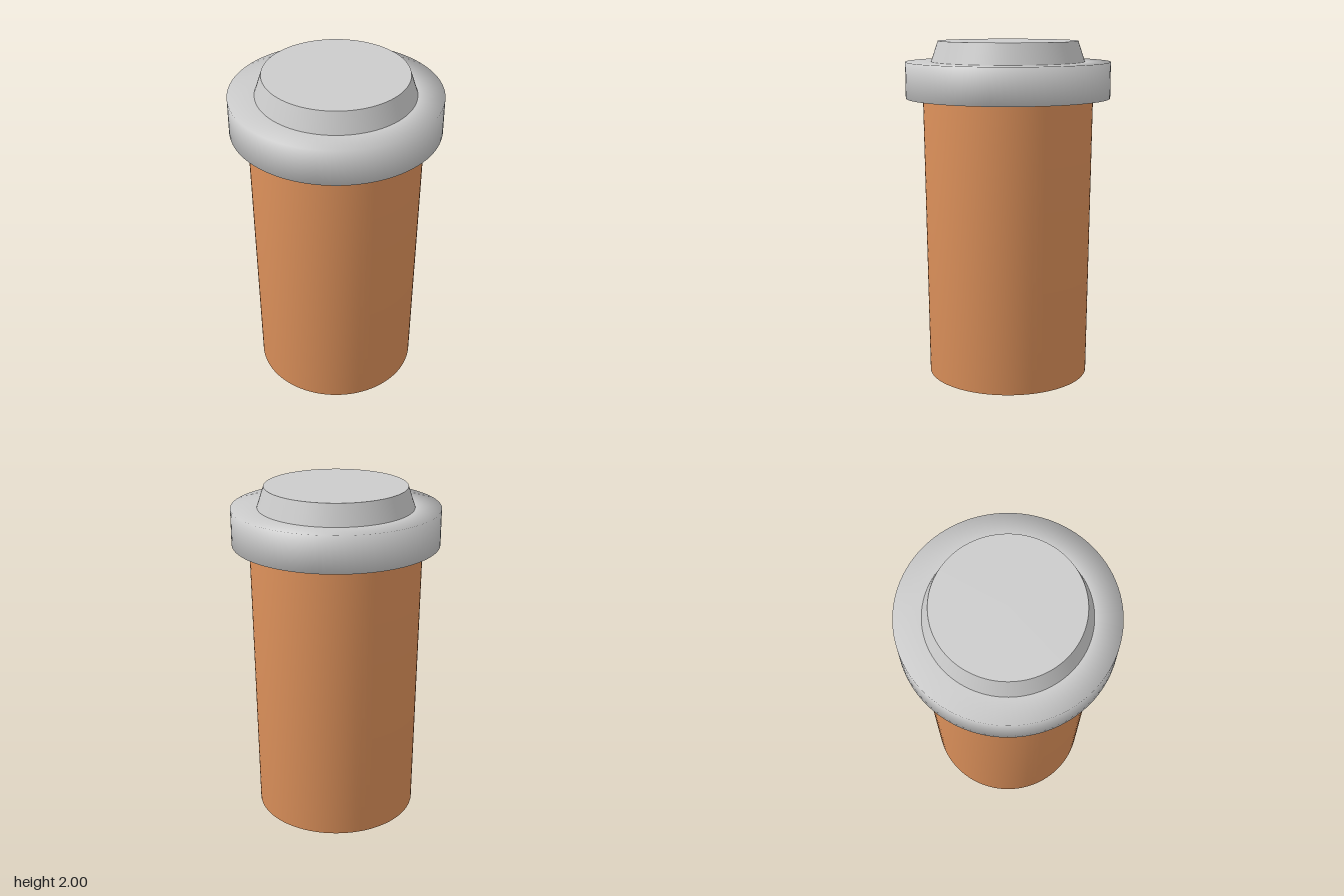
import * as THREE from 'three';

const SEGMENTS = 96;

// Turned part from a profile of [radius, height] points, listed from the bottom up
function turned(name, points, material) {
  const profile = points.map(([r, y]) => new THREE.Vector2(r, y));
  const mesh = new THREE.Mesh(new THREE.LatheGeometry(profile, SEGMENTS), material);
  mesh.name = name;
  return mesh;
}

export function createModel() {
  const group = new THREE.Group();
  group.name = 'lidded cup';

  const cupMaterial = new THREE.MeshStandardMaterial({ color: 0xe0935c });
  const lidMaterial = new THREE.MeshStandardMaterial({ color: 0xcccccc });

  // Small flat centre of the hollow base
  group.add(turned('baseCentre', [[0, 0.14], [0.07, 0.14]], cupMaterial));

  // Hollow base rising towards the centre, and the slightly flared wall
  group.add(turned('cupBody', [
    [0.07, 0.14], [0.13, 0.095], [0.21, 0.065], [0.3, 0.05], [0.48, 0], [0.5, 1.68],
  ], cupMaterial));

  // Wide lid rim with a flat underside and softly shaded edges
  group.add(turned('lidRim', [
    [0, 1.67], [0.5, 1.67], [0.6, 1.67], [0.6, 1.88], [0.45, 1.88], [0, 1.88],
  ], lidMaterial));

  // Tapered raised centre of the lid and its flat top
  group.add(turned('lidRaisedWall', [[0.45, 1.88], [0.41, 2]], lidMaterial));
  group.add(turned('lidTop', [[0.41, 2], [0, 2]], lidMaterial));

  return group;
}
